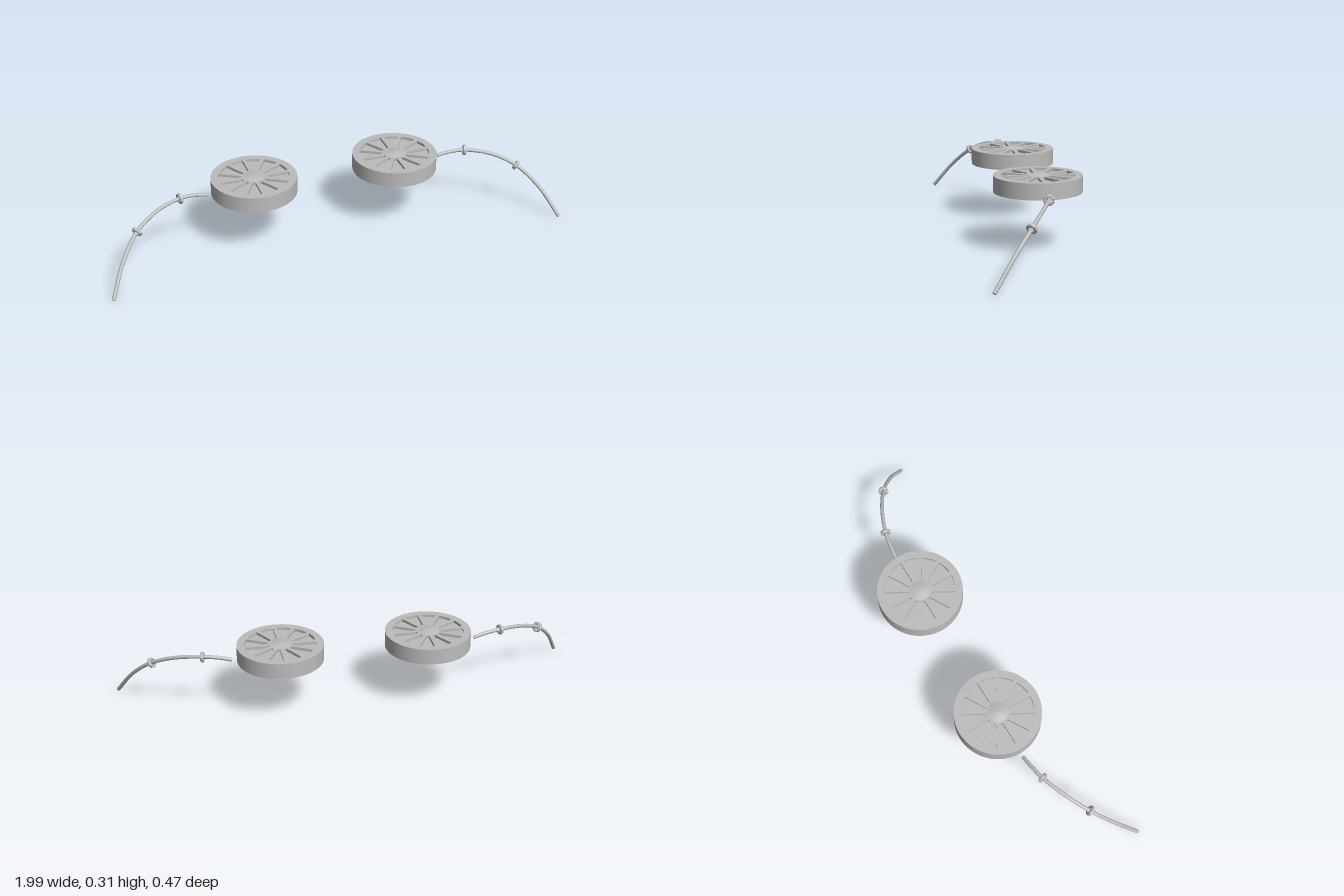
import * as THREE from 'three';

const DISC = { x: 0.316, z: -0.053, r: 0.182, bottom: 0.232, top: 0.3, plate: 0.012 };

// One window between two spokes: parallel-sided spokes, curved inner and outer ends
function windowPath(index, count, inner, outer, spokeWidth) {
  const mid = ((index + 0.5) / count) * Math.PI * 2;
  const half = (r) => Math.PI / count - Math.asin(spokeWidth / 2 / r);
  const path = new THREE.Path();
  path.absarc(0, 0, outer, mid - half(outer), mid + half(outer), false);
  path.absarc(0, 0, inner, mid + half(inner), mid - half(inner), true);
  path.closePath();
  return path;
}

export function createModel() {
  const model = new THREE.Group();
  const grey = new THREE.MeshStandardMaterial({ color: 0xbcbcbc });
  grey.name = 'grey';
  const greyThin = grey;
  greyThin.side = THREE.DoubleSide;

  function add(parent, name, geometry) {
    const mesh = new THREE.Mesh(geometry, grey);
    mesh.name = name;
    parent.add(mesh);
    return mesh;
  }

  // Spoked cover, shared by both discs
  const coverShape = new THREE.Shape();
  coverShape.absarc(0, 0, DISC.r, 0, Math.PI * 2, false);
  for (let i = 0; i < 12; i++) coverShape.holes.push(windowPath(i, 12, 0.052, 0.15, 0.016));
  const coverGeometry = new THREE.ExtrudeGeometry(coverShape, {
    depth: DISC.plate, bevelEnabled: false, curveSegments: 32,
  }).rotateX(-Math.PI / 2);

  // Low domed hub
  const hubGeometry = new THREE.LatheGeometry(
    [[0.046, 0], [0.03, 0.003], [0.012, 0.0065], [0, 0.0072]].map((p) => new THREE.Vector2(...p)), 24);

  // Octagonal collar threaded on the hose
  const collarGeometry = new THREE.LatheGeometry(
    [[0.013, -0.007], [0.02, -0.007], [0.023, -0.004], [0.023, 0.004], [0.02, 0.007], [0.013, 0.007], [0.013, -0.007]]
      .map((p) => new THREE.Vector2(...p)), 8).toNonIndexed();
  collarGeometry.computeVertexNormals();

  for (const side of [1, -1]) {
    const label = side > 0 ? 'left' : 'right';

    // Disc: open-bottomed drum with a recessed, spoked top
    const disc = new THREE.Group();
    disc.name = label + 'Disc';
    disc.position.set(side * DISC.x, 0, DISC.z);
    model.add(disc);
    const height = DISC.top - DISC.bottom;
    add(disc, 'drumWall', new THREE.CylinderGeometry(DISC.r, DISC.r, height, 64, 1, true))
      .position.y = DISC.bottom + height / 2;
    add(disc, 'spokedCover', coverGeometry).position.y = DISC.top - DISC.plate;
    add(disc, 'recessFloor', new THREE.CircleGeometry(DISC.r - 0.001, 64).rotateX(-Math.PI / 2))
      .position.y = DISC.top - DISC.plate - 0.001;
    add(disc, 'hub', hubGeometry).position.y = DISC.top;

    // Curved hose sweeping outward, forward and down
    const hose = new THREE.Group();
    hose.name = label + 'Hose';
    model.add(hose);
    const curve = new THREE.CatmullRomCurve3([
      [0.52, 0.248, -0.056], [0.575, 0.26, -0.05], [0.64, 0.264, -0.037], [0.745, 0.25, 0.005],
      [0.845, 0.205, 0.066], [0.925, 0.123, 0.142], [0.99, 0.006, 0.228],
    ].map(([x, y, z]) => new THREE.Vector3(side * x, y, z)));
    add(hose, 'hoseTube', new THREE.TubeGeometry(curve, 40, 0.008, 10));
    for (const t of [0, 1]) {
      const cap = add(hose, 'hoseEnd', new THREE.CircleGeometry(0.008, 10));
      cap.position.copy(curve.getPoint(t));
      cap.quaternion.setFromUnitVectors(new THREE.Vector3(0, 0, 1),
        curve.getTangent(t).multiplyScalar(t ? 1 : -1));
    }

    // Two collars along the hose
    for (const t of [2 / 6, 4 / 6]) {
      const collar = add(hose, 'collar', collarGeometry);
      collar.position.copy(curve.getPoint(t));
      collar.quaternion.setFromUnitVectors(new THREE.Vector3(0, 1, 0), curve.getTangent(t));
    }
  }
  return model;
}
